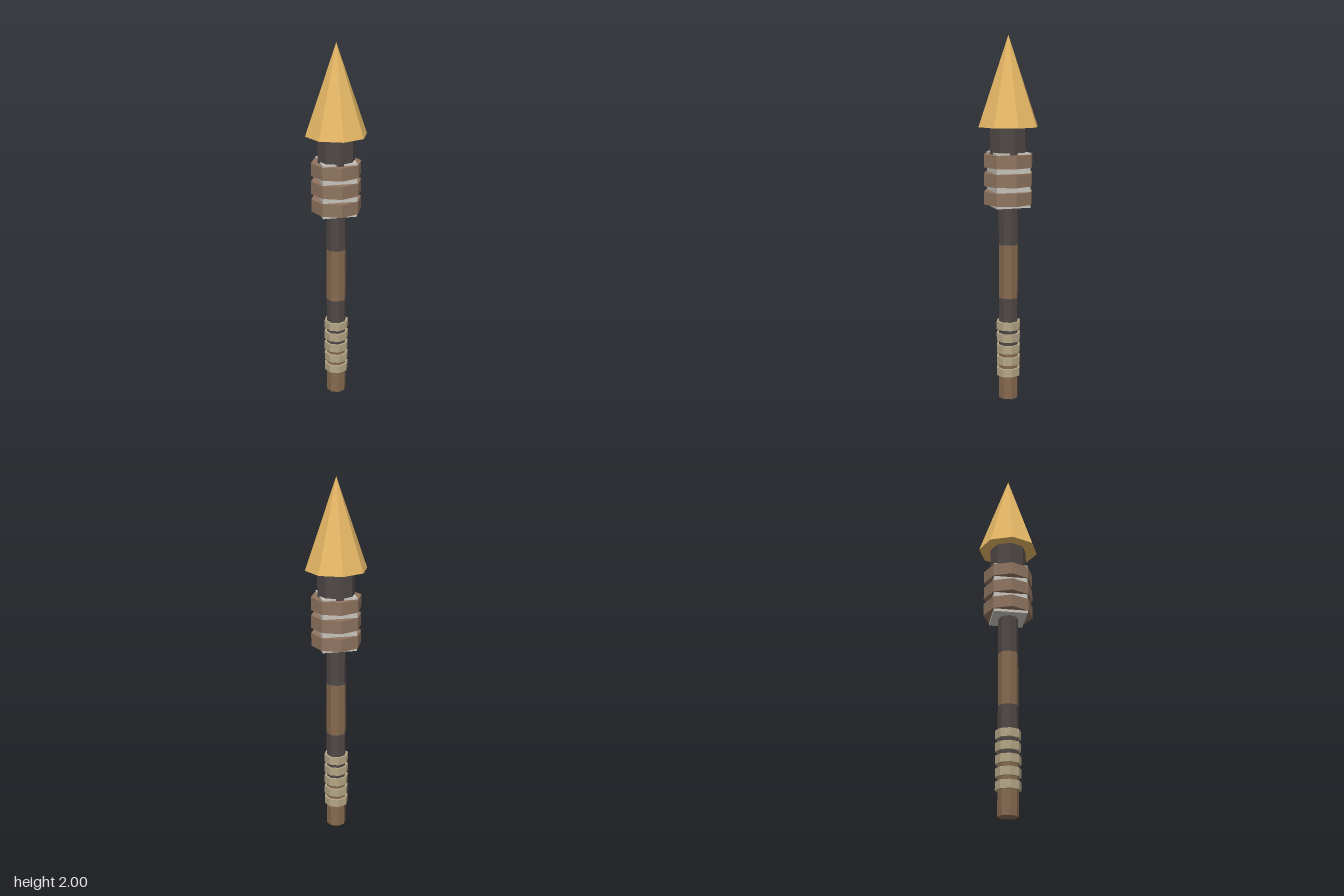
import * as THREE from 'three';

const SIDES = 8;

function material(color) {
  return new THREE.MeshStandardMaterial({ color, flatShading: true });
}

export function createModel() {
  const model = new THREE.Group();
  const gold = material(0xe6b765);
  const iron = material(0x4f4846);
  const wood = material(0x85694f);
  const leather = material(0x8f745f);
  const cord = material(0xb3a585);
  const pale = material(0xc8c4bc);

  function add(name, geometry, mat, y0, y1) {
    const mesh = new THREE.Mesh(geometry, mat);
    mesh.name = name;
    mesh.position.y = (y0 + y1) / 2;
    model.add(mesh);
  }

  // Octagonal prism between two heights, corners on the x and z axes
  function prism(name, radius, y0, y1, mat) {
    add(name, new THREE.CylinderGeometry(radius, radius, y1 - y0, SIDES), mat, y0, y1);
  }

  // Shaft, in bands of wood and iron
  prism('buttEnd', 0.055, 0, 0.3, wood);
  prism('lowerShaft', 0.055, 0.3, 0.58, iron);
  prism('woodGrip', 0.055, 0.58, 0.88, wood);
  prism('upperShaft', 0.055, 0.88, 1.1, iron);

  // Cord wraps near the butt
  for (let i = 0; i < 5; i++) {
    const y = 0.132 + i * 0.0672;
    prism('cordWrap', 0.068, y, y + 0.045, cord);
  }

  // Square block held by three collars
  add('headBlock', new THREE.BoxGeometry(0.187, 0.295, 0.187), pale, 1.09, 1.385);
  for (let i = 0; i < 3; i++) {
    const y = 1.105 + i * 0.1;
    prism('collar', 0.137, y, y + 0.07, leather);
  }

  // Neck and pointed tip
  prism('neck', 0.102, 1.32, 1.525, iron);
  add('tip', new THREE.ConeGeometry(0.167, 0.48, SIDES), gold, 1.52, 2);

  return model;
}
